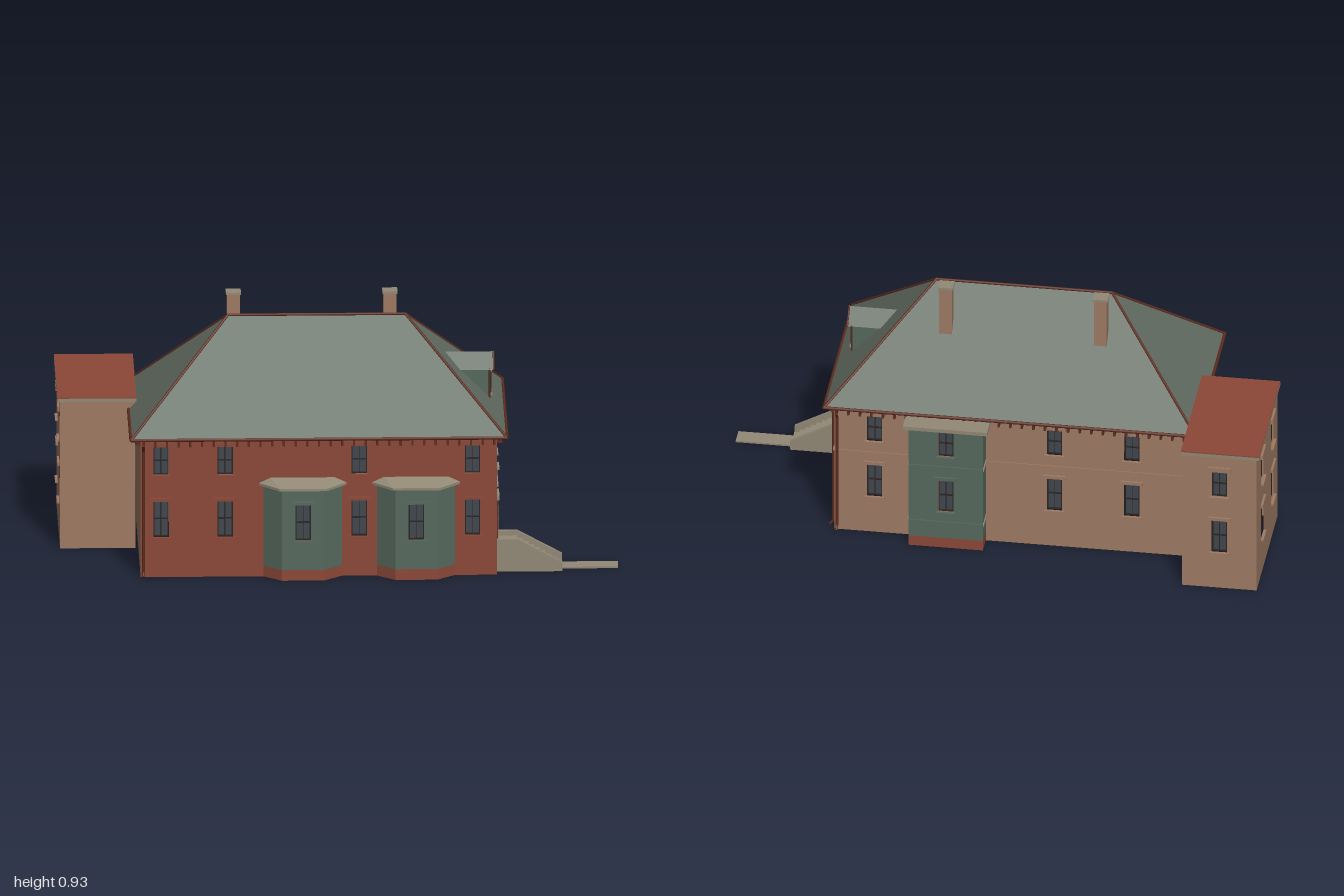
import * as THREE from 'three';

const mat = (name, color, side = THREE.FrontSide) => {
  const m = new THREE.MeshStandardMaterial({ color, side });
  m.name = name;
  return m;
};

export function createModel() {
  const D = THREE.DoubleSide;
  const brick = mat('brick', 0x8c4838, D), tan = mat('tan render', 0x9e7a63, D);
  const roofGreen = mat('roof green', 0x616c61, D), paint = mat('painted green', 0x56695d, D);
  const darkGreen = mat('dark green', 0x333c35, D), stone = mat('stone', 0x928976);
  const glass = mat('glass', 0x41464f), frameMat = mat('window frame', 0x2b2523);
  const trim = mat('dark red trim', 0x5e2c1f);
  const house = new THREE.Group();
  house.name = 'house';

  const add = (parent, name, geo, m) => {
    const mesh = new THREE.Mesh(geo, m);
    mesh.name = name;
    parent.add(mesh);
    return mesh;
  };
  // box given by its ranges on each axis
  const box = (parent, name, x0, x1, y0, y1, z0, z1, m) => {
    const b = add(parent, name, new THREE.BoxGeometry(x1 - x0, y1 - y0, z1 - z0), m);
    b.position.set((x0 + x1) / 2, (y0 + y1) / 2, (z0 + z1) / 2);
    return b;
  };
  // straight round bar between two points
  const rod = (parent, name, a, b, r, m) => {
    const A = new THREE.Vector3(...a), B = new THREE.Vector3(...b);
    const c = add(parent, name, new THREE.CylinderGeometry(r, r, A.distanceTo(B), 8), m);
    c.position.copy(A).add(B).multiplyScalar(0.5);
    c.quaternion.setFromUnitVectors(new THREE.Vector3(0, 1, 0), B.sub(A).normalize());
  };
  // flat-faced surface from corner points and polygon loops
  const faces = (parent, name, pts, polys, m) => {
    const pos = [];
    for (const p of polys)
      for (let i = 1; i < p.length - 1; i++) pos.push(...pts[p[0]], ...pts[p[i]], ...pts[p[i + 1]]);
    const g = new THREE.BufferGeometry();
    g.setAttribute('position', new THREE.Float32BufferAttribute(pos, 3));
    g.computeVertexNormals();
    return add(parent, name, g, m);
  };

  // sash window set into a wall opening, in the wall's own frame (u, y, outward)
  const sash = (wall, { u, y0, y1, w = 0.055, head, sill = true, headH = 0.018 }, pane = -0.012) => {
    const g = new THREE.Group(), h = w / 2, t = 0.004, mid = (y0 + y1) / 2;
    g.name = 'window';
    g.position.set(u, 0, 0);
    wall.add(g);
    const p = add(g, 'pane', new THREE.PlaneGeometry(w, y1 - y0), glass);
    p.position.set(0, mid, pane);
    const bar = (x0, x1, a, b) => box(g, 'glazingBar', x0, x1, a, b, pane, pane + 0.006, frameMat);
    bar(-h, -h + t, y0, y1); bar(h - t, h, y0, y1);
    bar(-h, h, y0, y0 + t); bar(-h, h, y1 - t, y1);
    bar(-h, h, mid - t / 2, mid + t / 2);
    bar(-0.001, 0.001, y0, y1);
    if (head) box(g, 'lintel', -h - 0.013, h + 0.013, y1, y1 + headH, -0.001, 0.008, head);
    if (sill) box(g, 'sill', -h - 0.008, h + 0.008, y0 - 0.008, y0, -0.001, 0.01, head || stone);
  };
  // wall from p to q (left to right seen from outside) with window openings
  const facade = (name, p, q, y0, y1, m, windows = [], extraHoles = []) => {
    const g = new THREE.Group(), dx = q[0] - p[0], dz = q[1] - p[1], L = Math.hypot(dx, dz);
    g.name = name;
    g.position.set(p[0], 0, p[1]);
    g.rotation.y = Math.atan2(-dz, dx);
    const rect = (s, a, b, c, d) => s.moveTo(a, c).lineTo(b, c).lineTo(b, d).lineTo(a, d).closePath();
    const s = rect(new THREE.Shape(), 0, L, y0, y1);
    for (const k of [...windows, ...extraHoles]) {
      const h = (k.w || 0.055) / 2;
      s.holes.push(rect(new THREE.Path(), k.u - h, k.u + h, k.y0, k.y1));
    }
    add(g, 'wallFace', new THREE.ShapeGeometry(s), m);
    windows.forEach(k => sash(g, k));
    house.add(g);
    return g;
  };
  const upper = (u, head) => ({ u, y0: 0.382, y1: 0.488, head });
  const lower = (u, head) => ({ u, y0: 0.15, y1: 0.284, head, headH: 0.012 });

  // main block, open underneath
  const X0 = -0.71, X1 = 0.565, Z0 = -0.265, Z1 = 0.395, H = 0.515;
  const front = [-0.637, -0.408, 0.072, 0.477].map(x => x - X0);
  facade('frontWall', [X0, Z1], [X1, Z1], 0, H, brick,
    front.flatMap(u => [upper(u, brick), lower(u, brick)]));
  const side = [0.1275, -0.0275, -0.18].map(z => Z1 - z);
  const doorU = Z1 - 0.3;
  const right = facade('rightWall', [X1, Z1], [X1, Z0], 0, H, brick, [
    ...[doorU - 0.0, ...side].map(u => upper(u, stone)),
    ...side.map(u => lower(u, stone)),
    ...side.map(u => ({ u, y0: 0.03, y1: 0.062, w: 0.05, head: stone })),
  ]);
  box(right, 'stringCourse', 0, Z1 - Z0, 0.328, 0.338, -0.001, 0.005, stone);
  const back = facade('backWall', [X1, Z0], [X0, Z0], 0, H, tan,
    [0.42, -0.23, -0.51].flatMap(x => [upper(X1 - x, tan), lower(X1 - x, tan)]));
  box(back, 'stringCourse', 0, X1 - X0, 0.33, 0.336, -0.001, 0.004, tan);
  facade('leftWall', [X0, Z0], [X0, Z1], 0, H, tan);

  // entrance door with transom and stone head
  box(right, 'doorFrame', doorU - 0.037, doorU + 0.037, 0.105, 0.262, 0, 0.004, trim);
  box(right, 'door', doorU - 0.031, doorU + 0.031, 0.105, 0.237, 0, 0.007, tan);
  box(right, 'transom', doorU - 0.029, doorU + 0.029, 0.24, 0.257, 0, 0.006, glass);
  box(right, 'doorHead', doorU - 0.042, doorU + 0.042, 0.262, 0.28, 0, 0.01, stone);

  // entrance steps, cheek walls and path
  const stairs = new THREE.Group();
  stairs.name = 'entranceSteps';
  house.add(stairs);
  box(stairs, 'landing', X1, 0.64, 0, 0.103, 0.255, 0.345, stone);
  for (let i = 0; i < 8; i++)
    box(stairs, 'step', 0.64 + i * 0.02, 0.66 + i * 0.02, 0, 0.092 - i * 0.0115, 0.255, 0.345, stone);
  const cheek = new THREE.Shape([[X1, 0], [0.8, 0], [0.8, 0.033], [0.64, 0.12], [X1, 0.12]]
    .map(c => new THREE.Vector2(...c)));
  for (const z of [0.24, 0.345])
    add(stairs, 'cheekWall', new THREE.ExtrudeGeometry(cheek, { depth: 0.015, bevelEnabled: false }), stone)
      .position.z = z;
  box(stairs, 'path', 0.8, 1, 0, 0.006, 0.262, 0.328, stone);

  // canted bays on the front
  for (const cx of [-0.13, 0.275]) {
    const plan = [[-0.14, Z1], [-0.075, 0.45], [0.075, 0.45], [0.14, Z1]].map(([x, z]) => [x + cx, z]);
    for (let i = 0; i < 3; i++) {
      facade('bayWall', plan[i], plan[i + 1], 0.04, 0.342, paint, i === 1 ? [lower(0.075, paint)] : []);
      facade('bayPlinth', plan[i], plan[i + 1], 0, 0.04, brick);
    }
    const ring = [[-0.157, Z1], [-0.085, 0.47], [0.085, 0.47], [0.157, Z1]];
    const pts = [0.341, 0.35].flatMap(y => ring.map(([x, z]) => [x + cx, y, z]));
    pts.push([cx - 0.115, 0.37, Z1 + 0.001], [cx + 0.115, 0.37, Z1 + 0.001]);
    faces(house, 'bayRoof', pts, [[0, 1, 5, 4], [1, 2, 6, 5], [2, 3, 7, 6],
      [4, 5, 8], [5, 6, 9, 8], [6, 7, 9], [3, 2, 1, 0]], stone);
  }

  // square two-storey bay on the back
  const bayPlan = [[0.287, Z0], [0.287, -0.335], [0.018, -0.335], [0.018, Z0]];
  for (let i = 0; i < 3; i++) {
    const L = i === 1 ? 0.269 : 0.07;
    const w = facade('backBayWall', bayPlan[i], bayPlan[i + 1], 0.04, 0.496, paint,
      i === 1 ? [upper(L / 2, paint), lower(L / 2, paint)] : []);
    for (const y of [0.1, 0.331]) box(w, 'bayBand', 0, L, y, y + 0.01, 0, 0.004, i === 1 ? paint : stone);
    facade('backBayPlinth', bayPlan[i], bayPlan[i + 1], 0, 0.04, brick);
  }
  box(house, 'backBayRoof', 0, 0.305, 0.494, 0.508, -0.355, Z0, stone);

  // side wing with flat roof
  const ax0 = -0.99, ax1 = -0.72, az0 = -0.46, az1 = 0.045;
  const pair = u => [upper(u, tan), lower(u, tan)];
  facade('wingBack', [ax1, az0], [ax0, az0], 0, 0.552, tan, pair(0.135));
  facade('wingLeft', [ax0, az0], [ax0, az1], 0, 0.552, tan, [...pair(0.14), ...pair(0.385)]);
  facade('wingFront', [ax0, az1], [ax1, az1], 0, 0.552, tan);
  facade('wingRight', [ax1, az1], [ax1, az0], 0, 0.552, tan);
  box(house, 'wingCornice', -1, -0.717, 0.55, 0.563, -0.468, 0.052, stone);
  box(house, 'wingRoof', -1, -0.717, 0.563, 0.567, -0.468, 0.052, brick);

  // hipped roof with ridge, hip and eave trims
  const E = 0.52, R = 0.877;
  const roof = [[-0.745, E, 0.42], [0.6, E, 0.42], [0.6, E, -0.29], [-0.745, E, -0.29],
    [-0.39, R, 0.065], [0.245, R, 0.065]];
  faces(house, 'mainRoof', roof, [[0, 1, 5, 4], [1, 2, 5], [2, 3, 4, 5], [3, 0, 4]], roofGreen);
  for (const [a, b] of [[0, 4], [3, 4], [1, 5], [2, 5], [4, 5]])
    rod(house, 'ridgeTrim', roof[a], roof[b], 0.005, trim);
  for (let i = 0; i < 4; i++) rod(house, 'gutter', roof[i], roof[(i + 1) % 4], 0.006, trim);

  // eave brackets along the four walls
  const bracket = (x, z, alongX, s) => {
    const w = 0.004, d = 0.02;
    if (alongX) box(house, 'eaveBracket', x - w, x + w, 0.492, 0.515, Math.min(z, z + s * d), Math.max(z, z + s * d), trim);
    else box(house, 'eaveBracket', Math.min(x, x + s * d), Math.max(x, x + s * d), 0.492, 0.515, z - w, z + w, trim);
  };
  for (let i = 0; i <= 30; i++) {
    const x = X0 + 0.01 + (i / 30) * (X1 - X0 - 0.02);
    bracket(x, Z1, true, 1);
    bracket(x, Z0, true, -1);
  }
  for (let i = 0; i <= 16; i++) {
    const z = Z0 + 0.01 + (i / 16) * (Z1 - Z0 - 0.02);
    bracket(X1, z, false, 1);
    if (z > 0.06) bracket(X0, z, false, -1);
  }

  // downpipes: gutter outlet, elbow, drop and kicked foot (dx, dz point outwards)
  for (const [x, z, dx, dz] of [[-0.7, Z1, 0, 1], [X1, -0.243, 1, 0], [0.555, Z0, 0, -1]]) {
    const at = (o, y) => [x + dx * o, y, z + dz * o];
    const path = [at(0.026, 0.515), at(0.026, 0.5), at(0.007, 0.475), at(0.007, 0.02), at(0.02, 0.006)];
    for (let i = 0; i < 4; i++) rod(house, 'downpipe', path[i], path[i + 1], 0.005, trim);
  }

  // chimneys
  for (const x of [-0.368, 0.192]) {
    box(house, 'chimney', x - 0.023, x + 0.023, 0.68, 0.924, -0.075, -0.031, tan);
    box(house, 'chimneyCap', x - 0.027, x + 0.027, 0.922, 0.931, -0.079, -0.027, stone);
  }

  // dormer on the right-hand slope
  const dz = 0.066, fx = 0.545, xr = 0.38;
  const dpts = [[fx, 0.57, dz + 0.046], [fx, 0.57, dz - 0.046], [fx, 0.684, dz - 0.046], [fx, 0.73, dz],
    [fx, 0.684, dz + 0.046], [0.43, 0.684, dz - 0.046], [0.43, 0.684, dz + 0.046]];
  faces(house, 'dormerFront', dpts, [[0, 1, 2, 3, 4]], darkGreen);
  faces(house, 'dormerCheeks', dpts, [[1, 5, 2], [0, 4, 6]], paint);
  const rp = [[0.56, 0.68, dz + 0.051], [0.56, 0.734, dz], [0.56, 0.68, dz - 0.051],
    [0.43, 0.68, dz + 0.051], [xr, 0.734, dz], [0.43, 0.68, dz - 0.051]];
  faces(house, 'dormerRoof', rp, [[0, 1, 4, 3], [1, 2, 5, 4]], roofGreen);
  rod(house, 'dormerVerge', rp[0], rp[1], 0.003, trim);
  rod(house, 'dormerVerge', rp[1], rp[2], 0.003, trim);
  for (const s of [-1, 1])
    rod(house, 'dormerCorner', [fx, 0.57, dz + s * 0.046], [fx, 0.684, dz + s * 0.046], 0.003, trim);
  rod(house, 'dormerBase', dpts[0], dpts[1], 0.003, trim);
  const dw = new THREE.Group();
  dw.name = 'dormerWindow';
  dw.position.set(fx, 0, dz);
  dw.rotation.y = Math.PI / 2;
  house.add(dw);
  sash(dw, { u: 0, y0: 0.587, y1: 0.67, w: 0.046, head: stone, headH: 0.014 }, 0.002);

  return house;
}
